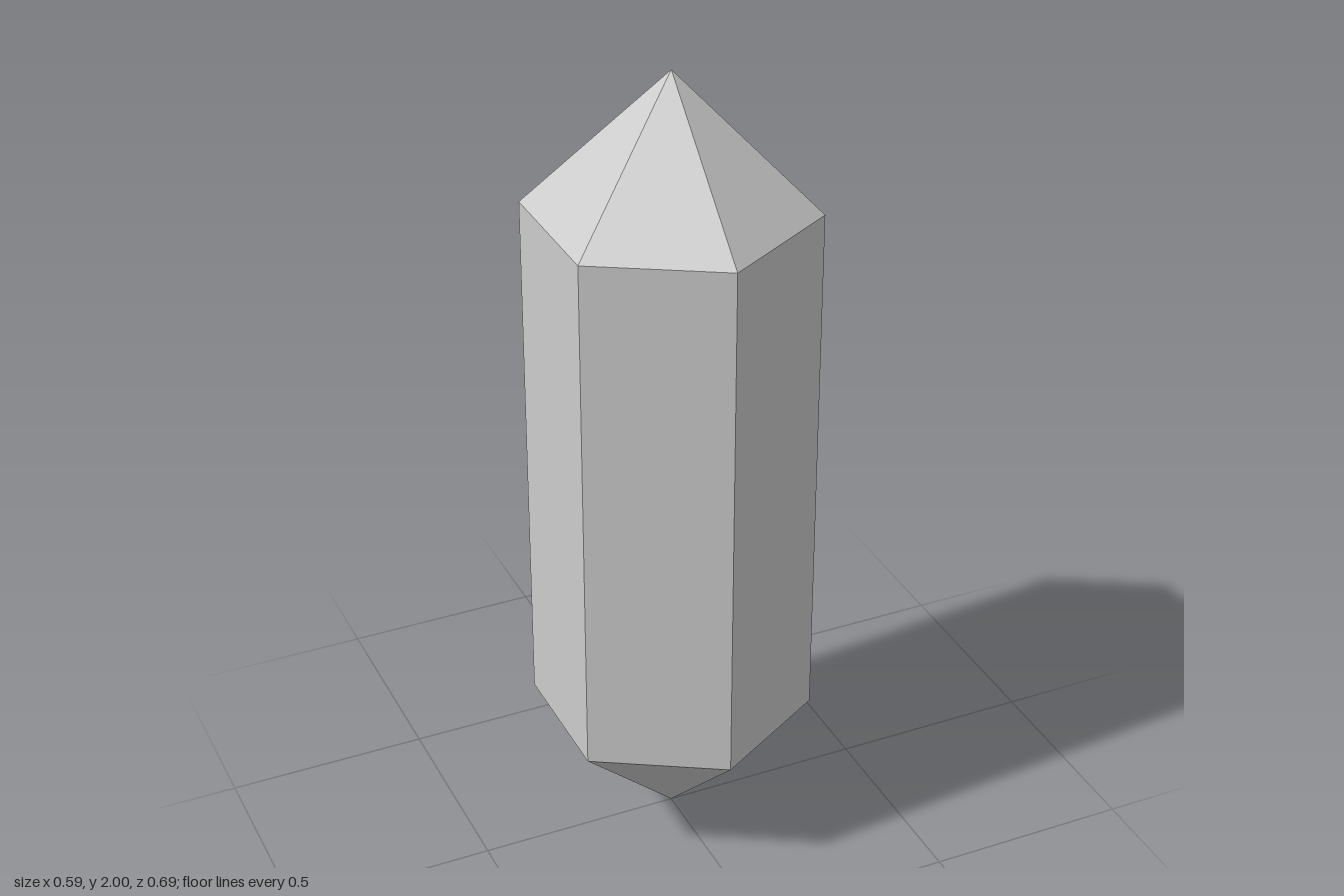
import * as THREE from 'three';

const RADIUS = 0.343;
const SIDES = 6;
const LOWER = 0.335; // height where the lower point meets the shaft
const UPPER = 1.667; // height where the shaft meets the upper point
const TOP = 2;

export function createModel() {
  const crystal = new THREE.Group();
  crystal.name = 'crystal';
  const material = new THREE.MeshStandardMaterial({ color: 0xcccccc, flatShading: true });

  // Open-ended six-sided section between two heights
  const addSection = (name, y0, y1, r0, r1) => {
    const geometry = new THREE.CylinderGeometry(r1, r0, y1 - y0, SIDES, 1, true);
    const mesh = new THREE.Mesh(geometry, material);
    mesh.name = name;
    mesh.position.y = (y0 + y1) / 2;
    crystal.add(mesh);
  };

  addSection('lowerPoint', 0, LOWER, 0, RADIUS);
  addSection('shaft', LOWER, UPPER, RADIUS, RADIUS);
  addSection('upperPoint', UPPER, TOP, RADIUS, 0);

  return crystal;
}
